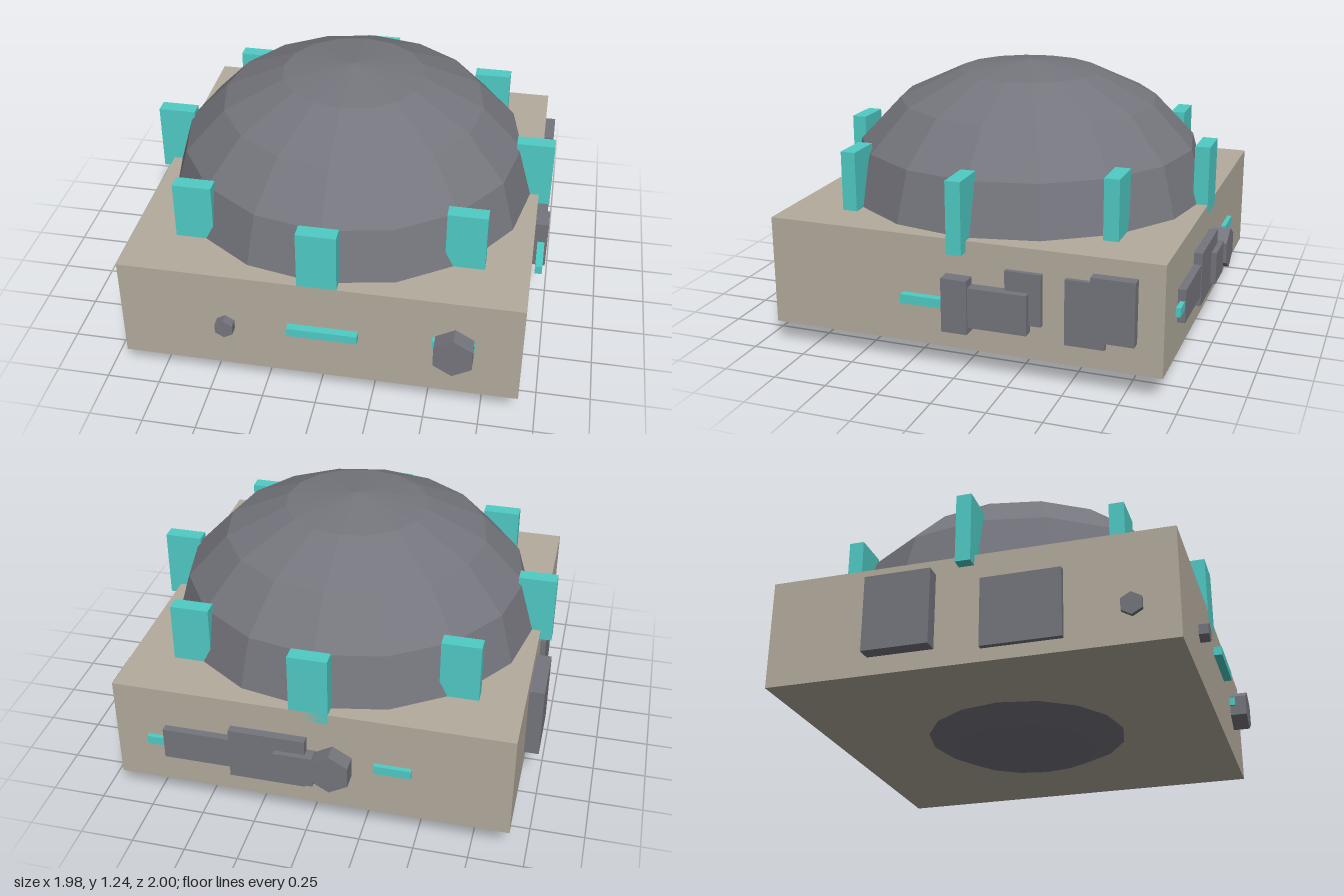
import * as THREE from 'three';

const make = (name, color) => {
  const m = new THREE.MeshStandardMaterial({ color, flatShading: true });
  m.name = name;
  return m;
};

export function createModel() {
  const stone = make('warm stone', 0xb3ab9d);
  const steel = make('dark steel', 0x75757d);
  const teal = make('teal', 0x50cbc5);
  const model = new THREE.Group();
  const HALF = 0.92;

  const add = (parent, name, geometry, material, x, y, z) => {
    const mesh = new THREE.Mesh(geometry, material);
    mesh.name = name;
    mesh.position.set(x, y, z);
    parent.add(mesh);
    return mesh;
  };

  // Square base slab
  add(model, 'base', new THREE.BoxGeometry(HALF * 2, 0.51, HALF * 2), stone, 0, 0.365, 0);

  // Squashed faceted dome, showing through the underside
  const dome = new THREE.SphereGeometry(0.885, 16, 8).scale(1, 0.62 / 0.885, 1);
  add(model, 'dome', dome, steel, 0, 0.62, 0);

  // Eight upright fins around the dome, all facing the same way
  for (let i = 0; i < 8; i++) {
    const a = (i * Math.PI) / 4;
    add(model, 'fin', new THREE.BoxGeometry(0.18, 0.33, 0.07), teal,
      Math.cos(a) * 0.885, 0.735, Math.sin(a) * 0.885);
  }

  // Each side is laid out facing +z, then turned into place
  const side = (name, angle) => {
    const g = new THREE.Group();
    g.name = name;
    g.rotation.y = angle;
    model.add(g);
    return {
      panel: (u0, u1, y0, y1, depth) =>
        add(g, 'panel', new THREE.BoxGeometry(u1 - u0, y1 - y0, depth), steel,
          (u0 + u1) / 2, (y0 + y1) / 2, HALF + depth / 2),
      bar: (u0, u1, y, inner, outer) =>
        add(g, 'lightBar', new THREE.BoxGeometry(u1 - u0, 0.042, outer - inner), teal,
          (u0 + u1) / 2, y, HALF + (inner + outer) / 2),
      bolt: (u, y, r, depth) =>
        add(g, 'hexBolt', new THREE.CylinderGeometry(r, r, depth, 6).rotateX(Math.PI / 2), steel,
          u, y, HALF + depth / 2),
    };
  };

  // Front
  const front = side('frontDetails', 0);
  front.bolt(-0.425, 0.35, 0.047, 0.045);
  front.bolt(0.62, 0.375, 0.1, 0.08);
  front.bar(-0.13, 0.19, 0.39, 0.018, 0.056);
  front.bar(0.52, 0.71, 0.395, 0, 0.027);

  // +x side: u runs along -z
  const left = side('leftDetails', Math.PI / 2);
  left.bar(-0.26, -0.03, 0.333, 0.018, 0.053);
  left.panel(-0.06, 0.06, 0.21, 0.46, 0.066);
  left.panel(0.06, 0.33, 0.24, 0.425, 0.055);
  left.panel(0.22, 0.385, 0.275, 0.515, 0.022);
  left.panel(0.49, 0.67, 0.21, 0.51, 0.022);
  left.panel(0.61, 0.805, 0.255, 0.545, 0.05);

  // -x side: u runs along +z
  const right = side('rightDetails', -Math.PI / 2);
  right.panel(-0.445, -0.14, 0.195, 0.55, 0.07);
  right.panel(0.07, 0.43, 0.17, 0.49, 0.026);
  right.bolt(0.72, 0.28, 0.052, 0.022);

  // Back: u runs along -x
  const back = side('backDetails', Math.PI);
  back.bar(-0.76, -0.6, 0.35, 0.01, 0.032);
  back.panel(-0.68, -0.36, 0.27, 0.425, 0.036);
  back.panel(-0.365, -0.01, 0.225, 0.48, 0.04);
  back.panel(-0.15, 0.03, 0.255, 0.41, 0.065);
  back.bolt(0.11, 0.35, 0.1, 0.08);
  back.bar(0.3, 0.47, 0.37, 0, 0.022);

  return model;
}
